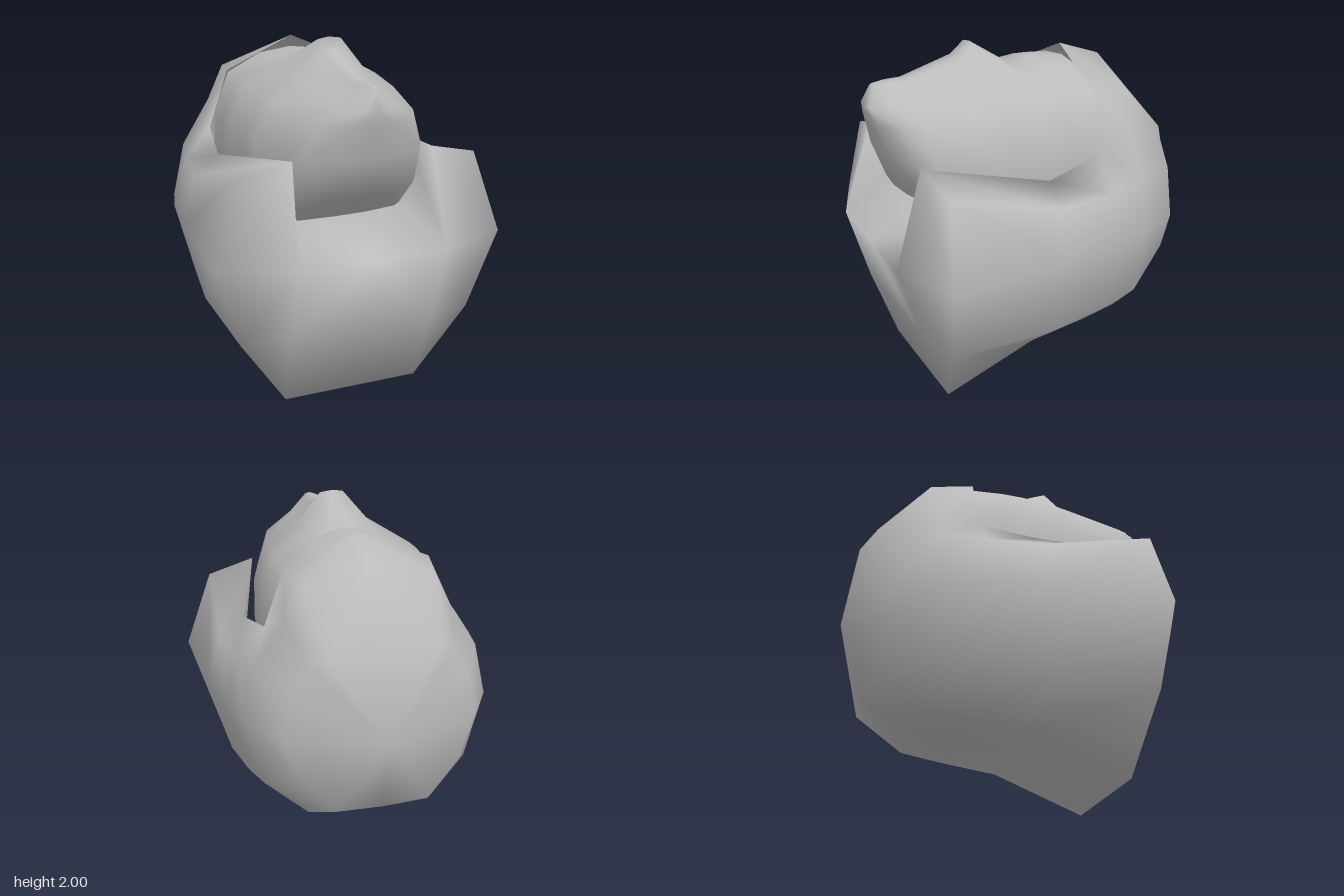
import * as THREE from 'three';
import { mergeVertices } from 'three/addons/utils/BufferGeometryUtils.js';

// Lofts half cross-sections into triangles and mirrors them across x = 0.
function loftHalf(sections, out) {
  const mirror = ([x, y, z]) => [-x, y, z];
  const tri = (a, b, c) => {
    out.push(...a, ...b, ...c, ...mirror(a), ...mirror(c), ...mirror(b));
  };
  for (let i = 0; i + 1 < sections.length; i++) {
    const s = sections[i], t = sections[i + 1];
    const n = Math.min(s.length, t.length);
    for (let j = 0; j + 1 < n; j++) {
      tri(s[j], t[j], s[j + 1]);
      tri(t[j], t[j + 1], s[j + 1]);
    }
  }
}

// Welds the lofted halves into one smooth surface.
function smoothMesh(name, lofts, material) {
  const points = [];
  lofts.forEach((sections) => loftHalf(sections, points));
  let geometry = new THREE.BufferGeometry();
  geometry.setAttribute('position', new THREE.Float32BufferAttribute(points, 3));
  geometry = mergeVertices(geometry, 1e-4);
  geometry.computeVertexNormals();
  const mesh = new THREE.Mesh(geometry, material);
  mesh.name = name;
  return mesh;
}

// Half body section from bottom centre up to the rim, and on to the hood top if there is one.
function bodySection({ z, floor, wide, shoulder, rimX, rimY, top }) {
  const section = [
    [0, floor, z * 1.06],
    [wide * 0.5, floor, z * 1.04],
    [wide * 0.85, floor + 0.23, z],
    [wide, 0.93, z],
    [wide * 0.9, shoulder, z],
    [rimX, rimY, z],
  ];
  if (top) {
    section.push([rimX * 0.78, rimY + (top - rimY) * 0.65, z * 1.06], [0, top, z * 1.14]);
  }
  return section;
}

// Half head section from crown to neck; the face leans back above and below the nose.
function headSection([z, crown, halfWidth]) {
  const across = [0, 0.14, 0.4, 0.8, 0.98, 1, 1.2];
  const heights = [crown, crown - 0.01, 1.36 + 0.25 * crown, 1.72, 1.5, 1.25, 0.97];
  const lean = [0.93, 0.95, 1, 0.97, 0.92, 0.83, 0.42];
  return across.map((u, j) => {
    const drop = j > 1 ? 0.13 * Math.max(z, 0) * (heights[j] - 0.97) : 0;
    const x = j === 6 ? Math.min(u * halfWidth, 0.46) : u * halfWidth;
    return [x, heights[j] - drop, z > 0 ? z * lean[j] : z];
  });
}

export function createModel() {
  const group = new THREE.Group();
  group.name = 'hoodedBody';
  const grey = new THREE.MeshStandardMaterial({ color: 0xbbbbbb, side: THREE.DoubleSide });
  grey.name = 'plain grey';

  // Front panel: middle, notch edge and outer edge, each from the bottom up
  const corner = [0.41, 0, 0.66], rim = [0.41, 1.45, 0.78];
  const middle = [[0, 0, 0.66], [0, 0.45, 0.82], [0, 0.9, 0.95]];
  const notchEdge = [corner, [0.43, 0.45, 0.82], [0.44, 0.9, 0.95], rim];
  const outerEdge = [corner, [0.7, 0.43, 0.74], [0.86, 0.9, 0.79], [0.7, 1.38, 0.74]];

  // Body sides and hood, front to back, closing at one point
  const sides = [
    [middle[0], ...outerEdge, rim],
    bodySection({ z: 0.1, floor: 0.22, wide: 0.83, shoulder: 1.22, rimX: 0.6, rimY: 1.33 }),
    bodySection({ z: -0.25, floor: 0.26, wide: 0.78, shoulder: 1.22, rimX: 0.54, rimY: 1.4, top: 1.92 }),
    bodySection({ z: -0.48, floor: 0.29, wide: 0.72, shoulder: 1.25, rimX: 0.48, rimY: 1.52, top: 1.83 }),
    bodySection({ z: -0.76, floor: 0.46, wide: 0.55, shoulder: 1.22, rimX: 0.4, rimY: 1.37, top: 1.44 }),
    Array(8).fill([0, 0.92, -0.95]),
  ];

  // Neck opening: floor under the head and inner walls up to the rim, back to front
  const opening = [
    [[0, 0.95, -0.25], [0.48, 0.95, -0.25], sides[2][5]],
    [[0, 0.94, 0.1], [0.5, 0.94, 0.1], sides[1][5]],
    [middle[2], notchEdge[2], rim],
  ];
  group.add(smoothMesh('bodyShell', [sides, [middle, notchEdge, outerEdge], opening], grey));

  // Head, back to front: depth, crown height, half width
  const head = [
    [-0.3, 1.85, 0.5],
    [-0.08, 1.88, 0.52],
    [0.05, 1.84, 0.52],
    [0.32, 2, 0.5],
    [0.41, 1.93, 0.48],
    [0.74, 1.84, 0.4],
    [0.84, 1.84, 0.34],
    [0.93, 1.835, 0.17],
    [0.95, 1.83, 0],
  ].map(headSection);
  group.add(smoothMesh('head', [head], grey));

  return group;
}
